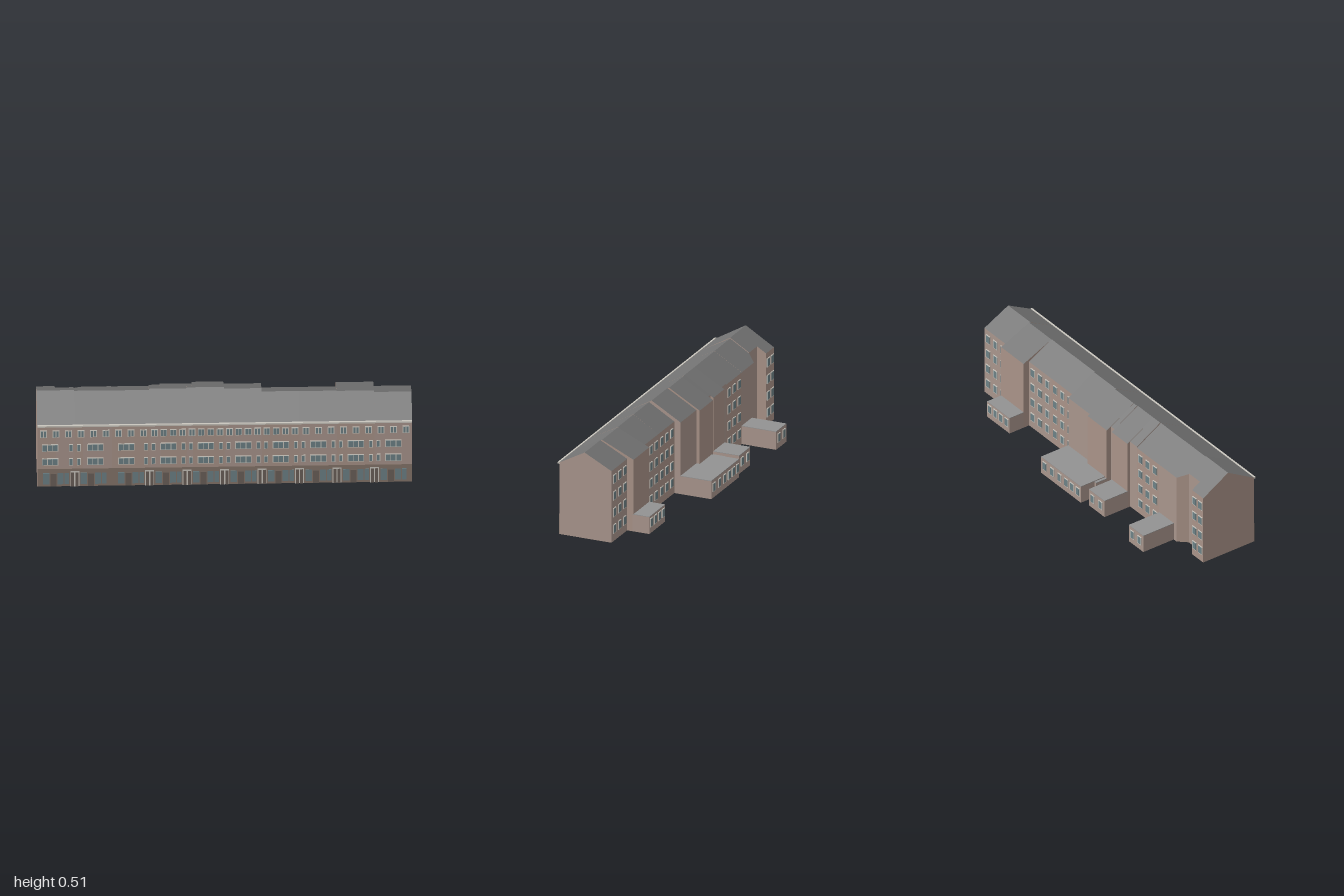
import * as THREE from 'three';
import { mergeGeometries } from 'three/addons/utils/BufferGeometryUtils.js';

const mat = (color) => new THREE.MeshStandardMaterial({ color, flatShading: true, side: THREE.DoubleSide });
const FRONT = 0.263, EAVE = 0.41;

export function createModel() {
  const group = new THREE.Group();
  const mats = {
    wall: mat(0xa8958c), wallWarm: mat(0xa99388), roof: mat(0x747474), flatRoof: mat(0x929292),
    shop: mat(0x85746a), frame: mat(0xc9c5bd), glass: mat(0x6c8186), door: mat(0x6a5f58),
  };
  const add = (name, geo, m) => {
    const mesh = new THREE.Mesh(geo, m);
    mesh.name = name;
    group.add(mesh);
  };

  // boxes sharing a material are gathered under one part name
  const parts = {};
  const box = (part, m, x0, x1, y0, y1, z0, z1) => {
    const g = new THREE.BoxGeometry(x1 - x0, y1 - y0, Math.abs(z1 - z0));
    g.translate((x0 + x1) / 2, (y0 + y1) / 2, (z0 + z1) / 2);
    (parts[part] ??= { m, list: [] }).list.push(g);
  };

  const polyGeo = (polys) => {
    const pos = [];
    for (const p of polys)
      for (let i = 1; i < p.length - 1; i++) pos.push(...p[0], ...p[i], ...p[i + 1]);
    const g = new THREE.BufferGeometry();
    g.setAttribute('position', new THREE.Float32BufferAttribute(pos, 3));
    g.computeVertexNormals();
    return g;
  };

  // house section: gabled cross-section lofted from x0 to x1
  const section = (x0, x1, back0, back1, ridgeZ, ridgeY, m) => {
    const profile = (x, back) => {
      const eave = Math.max(EAVE, ridgeY - (ridgeZ - back) * 0.6);
      return [[FRONT, 0], [FRONT, EAVE], [ridgeZ, ridgeY], [back, eave], [back, 0]]
        .map(([z, y]) => [x, y, z]);
    };
    const a = profile(x0, back0), b = profile(x1, back1);
    const quad = (i) => { const j = (i + 1) % 5; return [a[i], b[i], b[j], a[j]]; };
    add('houseWalls', polyGeo([quad(0), quad(3), quad(4), a, [...b].reverse()]), m);
    add('pitchedRoof', polyGeo([quad(1), quad(2)]), mats.roof);
  };

  // x0, x1, back z at x0, back z at x1, ridge z, ridge y
  [
    [-1, -0.9, -0.075, -0.075, 0.09, 0.512],
    [-0.9, -0.8, -0.022, -0.022, 0.09, 0.512],
    [-0.8, -0.755, -0.022, -0.07, 0.09, 0.507],
    [-0.755, -0.6, -0.07, -0.07, 0.09, 0.507],
    [-0.6, -0.4, -0.07, -0.07, 0.09, 0.506],
    [-0.4, -0.34, -0.07, -0.07, 0.085, 0.51],
    [-0.34, -0.2, -0.088, -0.088, 0.085, 0.51],
    [-0.2, -0.17, -0.07, -0.07, 0.08, 0.512],
    [-0.17, 0, -0.1, -0.1, 0.08, 0.512],
    [0, 0.2, -0.08, -0.08, 0.09, 0.508],
    [0.2, 0.4, -0.043, -0.043, 0.105, 0.497],
    [0.4, 0.6, -0.043, -0.043, 0.105, 0.496],
    [0.6, 0.8, -0.08, -0.08, 0.105, 0.494],
    [0.8, 1, -0.043, -0.043, 0.115, 0.491],
  ].forEach((s, i) => section(...s, i % 2 ? mats.wall : mats.wallWarm));

  // window: pale frame with inset panes, dir = +1 front, -1 back
  const windowAt = (x, y, w, h, z, dir, panes = 1) => {
    box('windowFrames', mats.frame, x - w / 2, x + w / 2, y - h / 2, y + h / 2, z, z + dir * 0.004);
    const t = 0.004, pw = (w - t * (panes + 1)) / panes;
    for (let i = 0; i < panes; i++) {
      const left = x - w / 2 + t + i * (pw + t);
      box('windowPanes', mats.glass, left, left + pw, y - h / 2 + t, y + h / 2 - t, z, z + dir * 0.005);
    }
  };

  // front facade, house by house: top row count, wide window offset, narrow window offsets
  const plans = [
    [3, 0.068, [0.18]], [3, 0.11, [0.022]], [3, 0.075, [0.18]],
    [4, 0.1, [0.02, 0.18]], [4, 0.1, [0.02, 0.18]], [4, 0.1, [0.02, 0.18]],
    [4, 0.1, [0.02, 0.18]], [3, 0.1, [0.02, 0.18]], [3, 0.1, [0.02, 0.18]], [3, 0.1, [0.02]],
  ];
  plans.forEach(([top, wide, narrow], i) => {
    const x0 = -1 + i * 0.2;
    for (let k = 0; k < top; k++)
      windowAt(x0 + (k + 0.5) * 0.2 / top, 0.352, 0.036, 0.046, FRONT, 1, 2);
    for (const y of [0.259, 0.165]) {
      windowAt(x0 + wide, y, 0.088, 0.047, FRONT, 1, 3);
      for (const n of narrow) windowAt(x0 + n, y, 0.022, 0.047, FRONT, 1);
    }
    // shopfront: backing, glazing, shop door
    box('shopfronts', mats.shop, x0, x0 + 0.2, 0, 0.117, FRONT, FRONT + 0.002);
    for (const [a, b] of [[0.03, 0.065], [0.108, 0.14], [0.145, 0.17]])
      box('shopWindows', mats.glass, x0 + a, x0 + b, 0.015, 0.09, FRONT, FRONT + 0.004);
    box('shopDoors', mats.door, x0 + 0.07, x0 + 0.103, 0, 0.085, FRONT, FRONT + 0.004);
    // entrance doors on the party walls
    if (i > 0 && i !== 2) {
      box('entranceFrames', mats.frame, x0 - 0.024, x0 + 0.024, 0, 0.102, FRONT, FRONT + 0.004);
      for (const s of [-1, 1])
        box('entranceDoors', mats.door, x0 + s * 0.011 - 0.008, x0 + s * 0.011 + 0.008, 0, 0.094, FRONT, FRONT + 0.005);
    }
  });

  // gutter along the front eave
  box('frontGutter', mats.frame, -1, 1, 0.402, 0.412, FRONT, 0.273);

  // rear windows on four floors: x centres and wall z
  [
    [[0.835, 0.9, 0.965], -0.043],
    [[0.235, 0.3, 0.365, 0.435, 0.5, 0.565], -0.043],
    [[-0.565, -0.5, -0.435], -0.07],
    [[-0.975, -0.925], -0.075],
  ].forEach(([xs, z]) => {
    for (const x of xs)
      for (const y of [0.355, 0.26, 0.165, 0.07]) windowAt(x, y, 0.036, 0.05, z, -1);
  });

  // single-storey rear annexes: x0, x1, wall z, outer z, height, window count
  [
    [-0.73, -0.6, -0.07, -0.272, 0.105, 2],
    [-0.34, -0.2, -0.085, -0.24, 0.105, 2],
    [-0.17, -0.155, -0.1, -0.17, 0.1, 0],
    [-0.155, 0, -0.08, -0.26, 0.105, 3],
    [0, 0.2, -0.075, -0.26, 0.105, 3],
    [0.6, 0.8, -0.075, -0.173, 0.099, 4],
  ].forEach(([x0, x1, z0, z1, h, n]) => {
    box('rearAnnexes', mats.wall, x0, x1, 0, h - 0.003, z0, z1);
    box('annexeRoofs', mats.flatRoof, x0, x1, h - 0.003, h, z0, z1);
    for (let k = 0; k < n; k++)
      windowAt(x0 + (k + 0.5) * (x1 - x0) / n, 0.06, 0.034, 0.05, z1, -1);
  });

  for (const [name, { m, list }] of Object.entries(parts)) add(name, mergeGeometries(list), m);
  return group;
}
